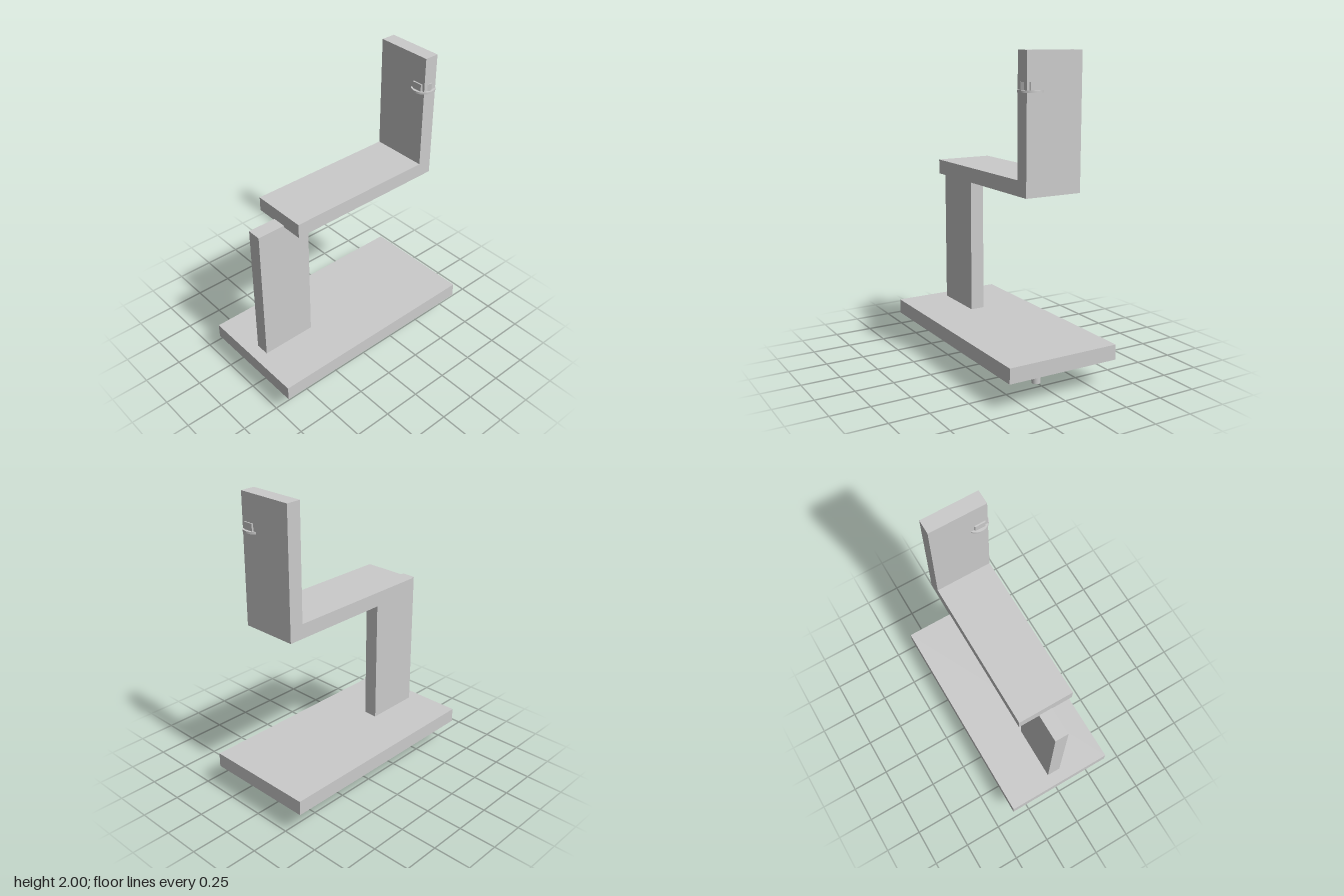
import * as THREE from 'three';

const material = new THREE.MeshStandardMaterial({ color: 0xcccccc });

function part(name, geometry, x, y, z) {
  const mesh = new THREE.Mesh(geometry, material);
  mesh.name = name;
  mesh.position.set(x, y, z);
  return mesh;
}

// Box given by its lower and upper corner
function slab(name, [x0, y0, z0], [x1, y1, z1]) {
  const geometry = new THREE.BoxGeometry(x1 - x0, y1 - y0, z1 - z0);
  return part(name, geometry, (x0 + x1) / 2, (y0 + y1) / 2, (z0 + z1) / 2);
}

// Threaded stud: plain shank with evenly spaced rings
function createStud(x) {
  const stud = new THREE.Group();
  stud.name = 'anchorStud';
  stud.position.x = x;
  stud.add(part('shank', new THREE.CylinderGeometry(0.028, 0.028, 0.18, 24), 0, 0.09, 0));
  for (let i = 0; i < 7; i++) {
    const ring = part('threadRing', new THREE.TorusGeometry(0.028, 0.005, 8, 24), 0, 0.045 + i * 0.02, 0);
    ring.rotation.x = Math.PI / 2;
    stud.add(ring);
  }
  return stud;
}

// Hexagonal nut seated on a washer, partly sunk in the upright
function createNut() {
  const nut = new THREE.Group();
  nut.name = 'nutAndWasher';
  nut.position.set(0.555, 0, 0.131);
  const hex = new THREE.CylinderGeometry(0.064, 0.064, 0.045, 6).toNonIndexed();
  hex.computeVertexNormals();
  nut.add(part('washer', new THREE.CylinderGeometry(0.074, 0.074, 0.013, 32), 0, 1.777, 0));
  nut.add(part('hexNut', hex, 0, 1.805, 0));
  return nut;
}

export function createModel() {
  const model = new THREE.Group();
  model.name = 'steppedBracket';

  // Base plate and post
  model.add(slab('basePlate', [-0.738, 0.175, -0.37], [0.738, 0.27, 0.37]));
  model.add(slab('post', [-0.655, 0.27, -0.046], [-0.29, 1.195, 0.046]));

  // Arm and upright plate
  model.add(slab('arm', [-0.47, 1.185, -0.184], [0.603, 1.277, 0.184]));
  model.add(slab('upright', [0.509, 1.277, -0.184], [0.603, 2, 0.184]));

  // Fasteners
  model.add(createNut());
  for (const x of [-0.438, 0, 0.438]) model.add(createStud(x));
  return model;
}
